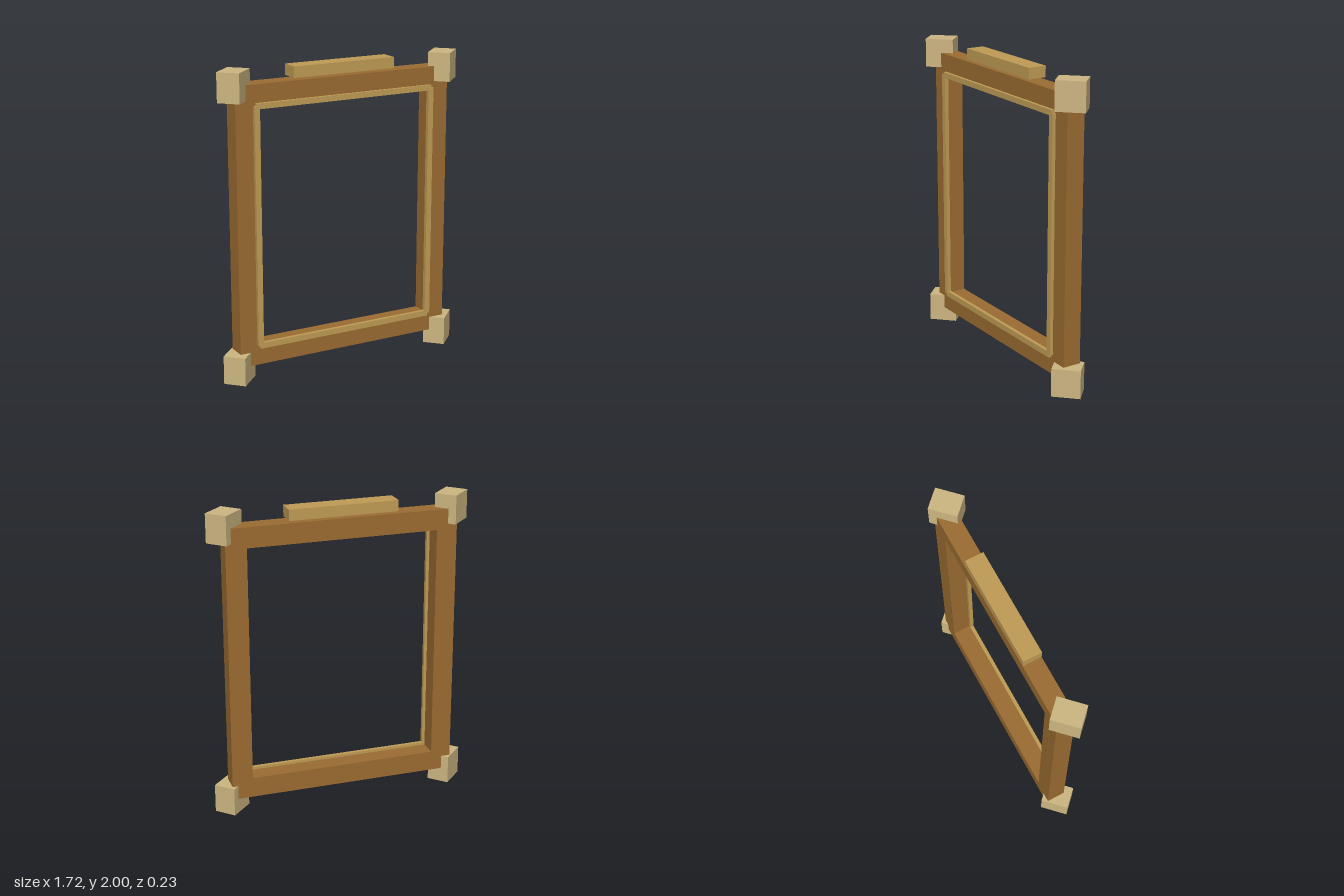
import * as THREE from 'three';

export function createModel() {
  const model = new THREE.Group();
  model.name = 'pictureFrame';

  const material = (name, color) => {
    const m = new THREE.MeshStandardMaterial({ color });
    m.name = name;
    return m;
  };
  const wood = material('brown wood', 0x9c6c32);
  const gold = material('gold trim', 0xc09c55);
  const pale = material('pale corner wood', 0xcdb681);

  // Box given by its extents along x, y and z
  const bar = (name, mat, [x0, x1], [y0, y1], [z0, z1]) => {
    const mesh = new THREE.Mesh(new THREE.BoxGeometry(x1 - x0, y1 - y0, z1 - z0), mat);
    mesh.position.set((x0 + x1) / 2, (y0 + y1) / 2, (z0 + z1) / 2);
    mesh.name = name;
    model.add(mesh);
    return mesh;
  };

  // Main frame rails
  const depth = [-0.08, 0.043];
  bar('topRail', wood, [-0.755, 0.755], [1.777, 1.91], depth);
  bar('bottomRail', wood, [-0.755, 0.755], [0.097, 0.23], depth);
  bar('leftRail', wood, [0.62, 0.755], [0.23, 1.777], depth);
  bar('rightRail', wood, [-0.755, -0.62], [0.23, 1.777], depth);

  // Slim inner trim, straddling the rails' inner edges
  bar('topTrim', gold, [-0.622, 0.622], [1.759, 1.795], [0.04, 0.064]);
  bar('bottomTrim', gold, [-0.622, 0.622], [0.21, 0.248], [0.04, 0.064]);
  bar('leftTrim', gold, [0.601, 0.638], [0.23, 1.777], [0.04, 0.066]);
  bar('rightTrim', gold, [-0.638, -0.601], [0.23, 1.777], [0.04, 0.066]);

  // Plate above the top rail
  bar('topPlate', gold, [-0.357, 0.353], [1.924, 1.995], [-0.08, 0.042]);

  // Corner blocks, all turned the same way
  for (const x of [-0.744, 0.741]) {
    for (const y of [0.0935, 1.9065]) {
      const block = new THREE.Mesh(new THREE.BoxGeometry(0.184, 0.187, 0.145), pale);
      block.position.set(x, y, 0);
      block.rotation.y = Math.PI / 4;
      block.name = 'cornerBlock';
      model.add(block);
    }
  }
  return model;
}
